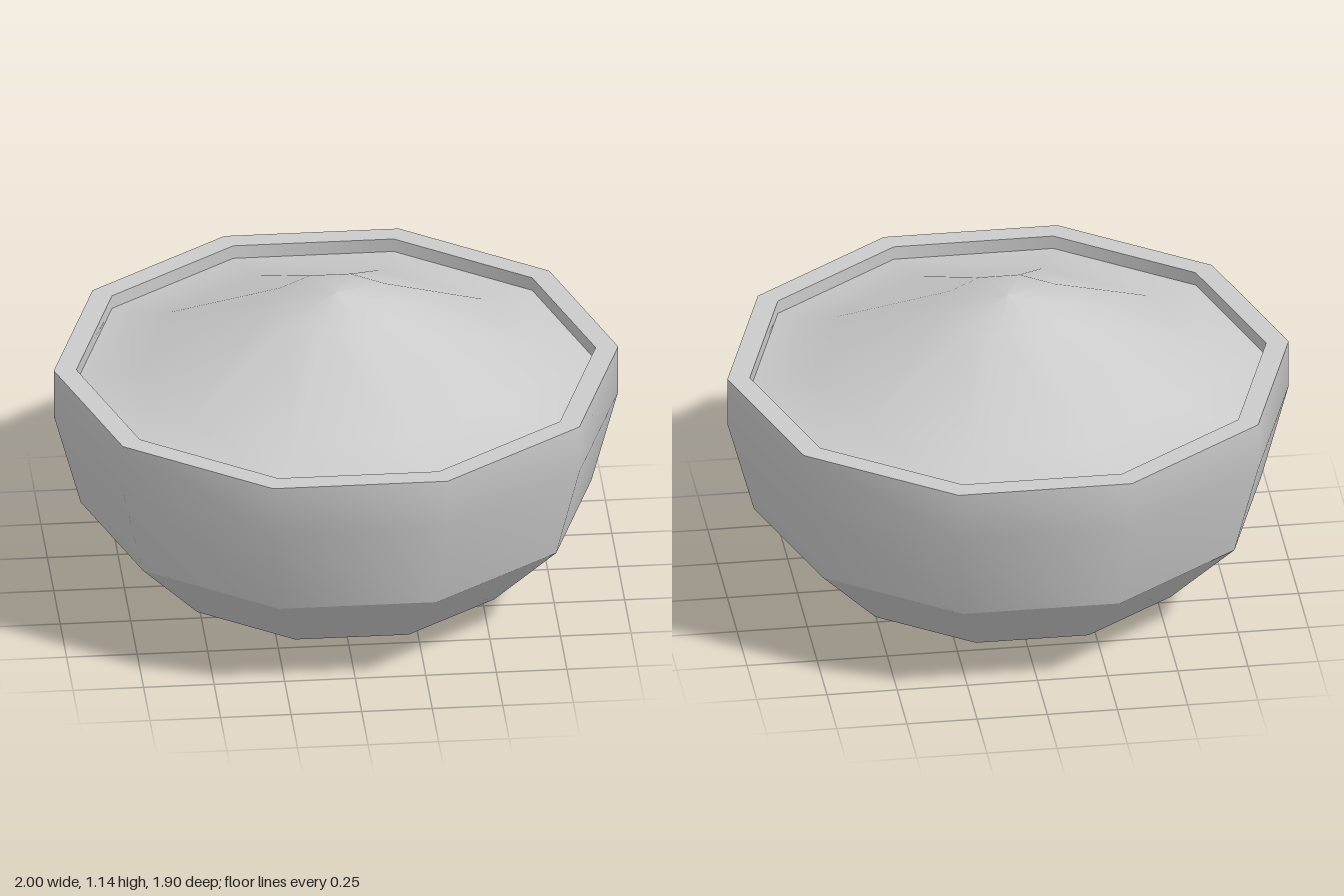
import * as THREE from 'three';

const SIDES = 10;
const material = new THREE.MeshStandardMaterial({ color: 0xcccccc });

// Ten-sided turned band with a corner on the +x axis; profile is a list of [radius, height]
function band(name, profile) {
  const points = profile.map(([r, y]) => new THREE.Vector2(r, y));
  const mesh = new THREE.Mesh(new THREE.LatheGeometry(points, SIDES, Math.PI / 2), material);
  mesh.name = name;
  return mesh;
}

export function createModel() {
  const model = new THREE.Group();
  model.name = 'filledBowl';

  // Bowl: separate bands keep the edges between them sharp
  const bowl = new THREE.Group();
  bowl.name = 'bowl';
  bowl.add(
    band('base', [[0, 0], [0.3, 0], [0.65, 0.095]]),
    band('lowerWall', [[0.65, 0.095], [0.905, 0.35]]),
    band('upperWall', [[0.905, 0.35], [1, 0.7], [1, 0.88]]),
    band('rim', [[1, 0.88], [0.92, 0.88]]),
    band('innerWall', [[0.92, 0.88], [0.92, 0.83]])
  );
  model.add(bowl);

  // Heaped contents filling the bowl
  model.add(band('mound', [[0.92, 0.83], [0.685, 0.878], [0.23, 1.1], [0, 1.145]]));

  return model;
}
